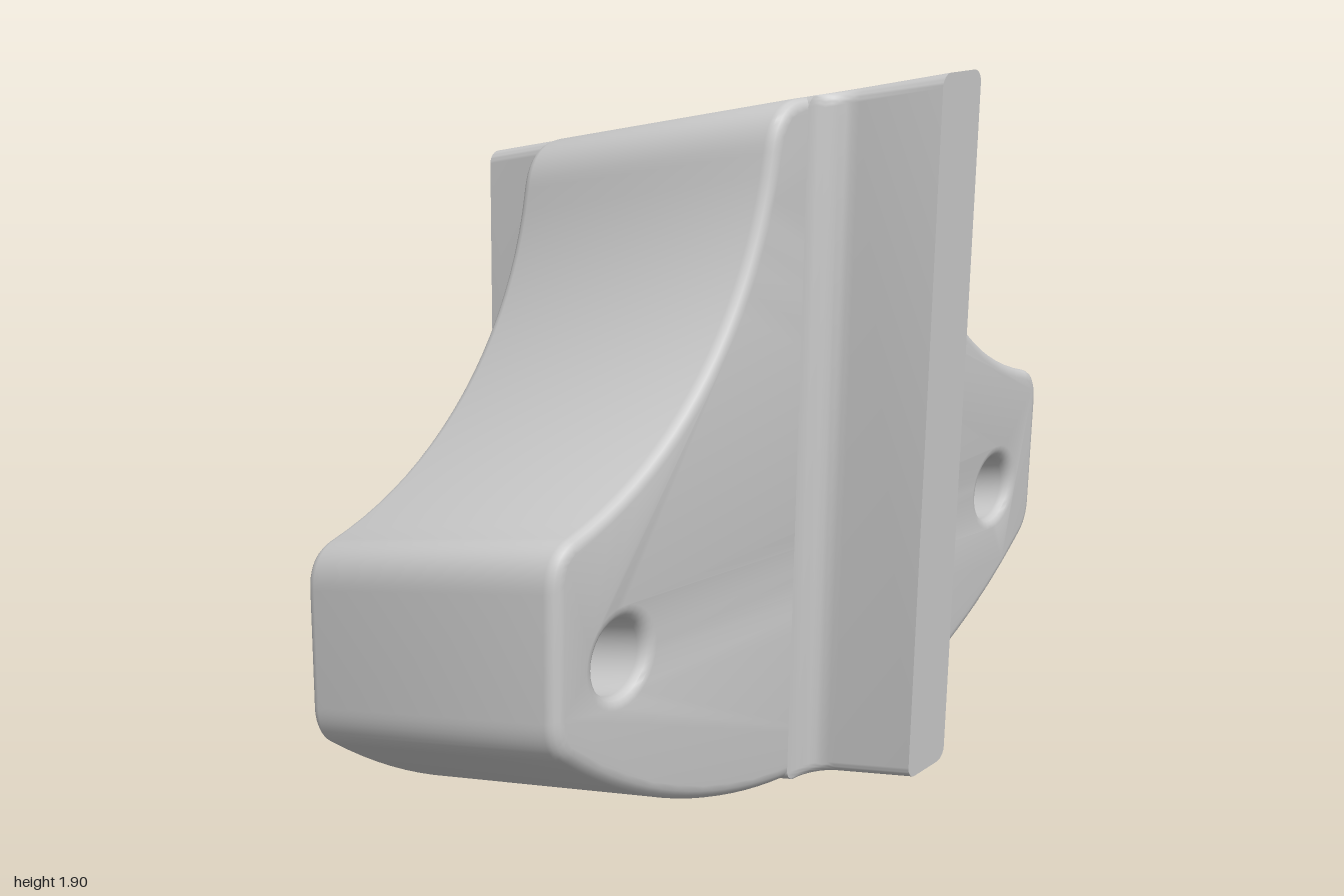
import * as THREE from 'three';
import { toCreasedNormals } from 'three/addons/utils/BufferGeometryUtils.js';

const BOTTOM = 0.132, TOP = 1.768, HALF_BODY = 0.37, HALF_FIN = 0.66;
const BEVEL = 0.03, FILLET = 0.08, FIN_W = 0.08;

// Everything leans: y rises toward the front, z drifts forward with height
const lean = new THREE.Matrix4().set(
  1, 0, 0, 0,
  0, 1, 0.2, 0,
  0, 0.024, 1, -0.024 * 0.95,
  0, 0, 0, 1);

function finish(geometry, name) {
  geometry.applyMatrix4(lean);
  const mesh = new THREE.Mesh(
    toCreasedNormals(geometry, 0.6),
    new THREE.MeshStandardMaterial({ color: 0xcccccc }));
  mesh.name = name;
  return mesh;
}

// Bell-shaped plate with two through holes and rounded rims
function body() {
  const half = new THREE.Path();
  half.absarc(0, BOTTOM + 1.52, 1.52, -Math.PI / 2, -Math.PI / 2 + 0.675, false);
  half.quadraticCurveTo(1, 0.5, 1, 0.57);
  half.lineTo(1, 0.85);
  half.quadraticCurveTo(1, 0.935, 0.931, 0.953);
  half.absarc(1.15, 1.8, 0.875, Math.PI + 1.317, Math.PI + 0.16, true);
  half.quadraticCurveTo(0.269, TOP, 0.17, TOP);
  const right = half.getPoints(10);
  const left = right.slice(1).reverse().map(p => new THREE.Vector2(-p.x, p.y));
  const shape = new THREE.Shape([...right, ...left]);
  for (const s of [-1, 1]) {
    const hole = new THREE.Path();
    hole.absarc(0.785 * s, 0.65, 0.085, 0, Math.PI * 2, true);
    shape.holes.push(hole);
  }
  const depth = 2 * (HALF_BODY - BEVEL);
  const geometry = new THREE.ExtrudeGeometry(shape, {
    depth, curveSegments: 16, bevelEnabled: true, bevelThickness: BEVEL,
    bevelSize: BEVEL, bevelOffset: -BEVEL, bevelSegments: 4 });
  geometry.translate(0, 0, -depth / 2);
  return finish(geometry, 'body');
}

// Rounded rectangle outline of the fin at half width w
function outline(w) {
  const r = 0.03, shape = new THREE.Shape();
  shape.absarc(w - r, BOTTOM + r, r, -Math.PI / 2, 0, false);
  shape.absarc(w - r, TOP - r, r, 0, Math.PI / 2, false);
  shape.absarc(-w + r, TOP - r, r, Math.PI / 2, Math.PI, false);
  shape.absarc(-w + r, BOTTOM + r, r, Math.PI, Math.PI * 1.5, false);
  return shape.getPoints(4);
}

// Long central fin that flares into the body with concave fillets
function fin() {
  const front = [];
  for (let i = 0; i <= 8; i++) {
    const a = (i / 8) * Math.PI / 2;
    front.push([HALF_BODY + FILLET * (1 - Math.cos(a)), FIN_W + FILLET * (1 - Math.sin(a))]);
  }
  front.push([HALF_FIN, FIN_W]);
  const sections = [...front.slice().reverse().map(([z, w]) => [-z, w]), ...front];
  const n = outline(FIN_W).length, pos = [], index = [];
  for (const [z, w] of sections) for (const p of outline(w)) pos.push(p.x, p.y, z);
  const last = (sections.length - 1) * n;
  for (let i = 0; i < last; i += n) {
    for (let j = 0; j < n; j++) {
      const k = (j + 1) % n;
      index.push(i + j, i + k, i + n + k, i + j, i + n + k, i + n + j);
    }
  }
  // Flat ends
  const c = pos.length / 3, mid = (BOTTOM + TOP) / 2;
  pos.push(0, mid, -HALF_FIN, 0, mid, HALF_FIN);
  for (let j = 0; j < n; j++) {
    const k = (j + 1) % n;
    index.push(c, k, j, c + 1, last + j, last + k);
  }
  const geometry = new THREE.BufferGeometry();
  geometry.setAttribute('position', new THREE.Float32BufferAttribute(pos, 3));
  geometry.setIndex(index);
  return finish(geometry, 'centralFin');
}

export function createModel() {
  const group = new THREE.Group();
  group.name = 'finnedBlock';
  group.add(body(), fin());
  return group;
}
